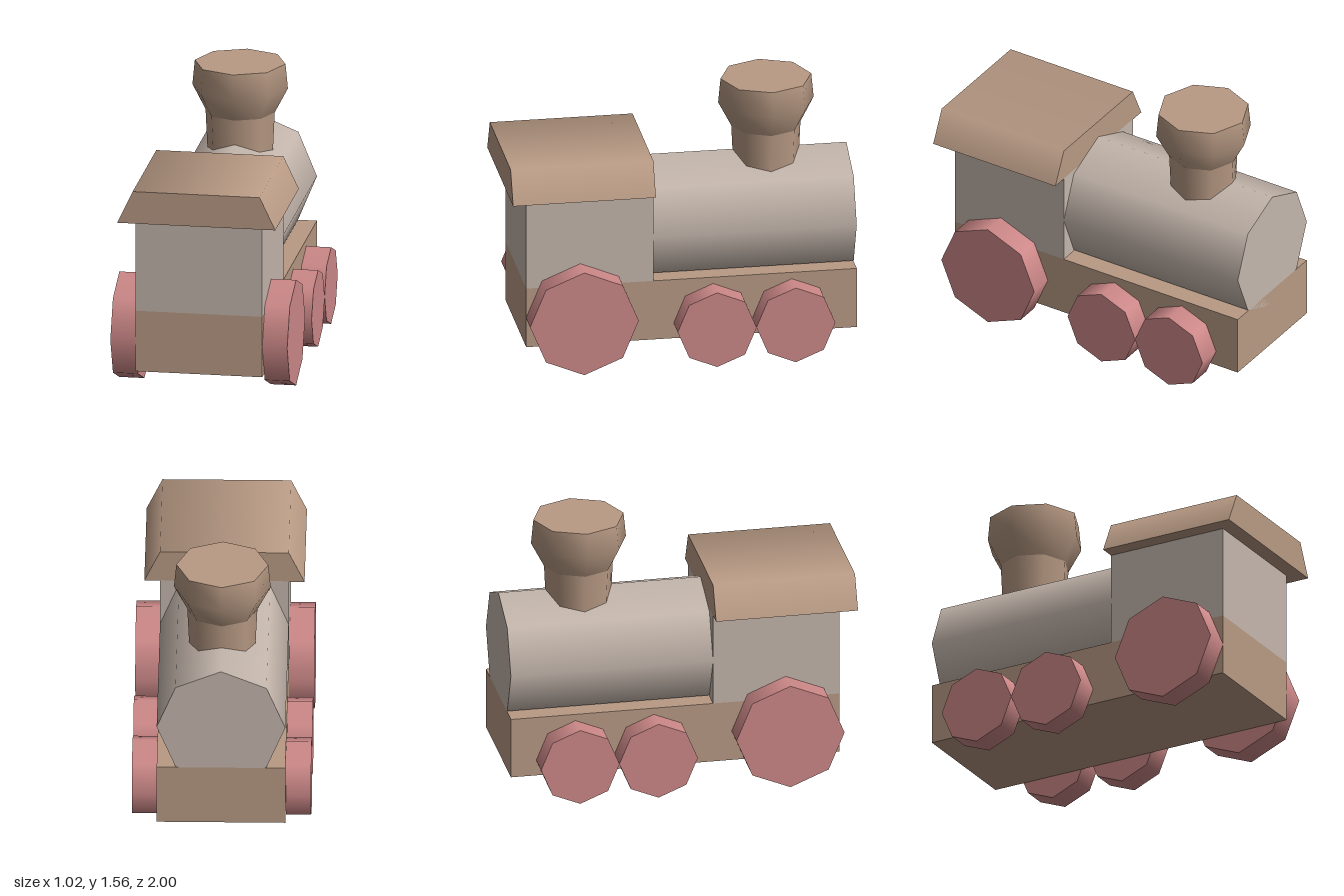
import * as THREE from 'three';

const mat = (name, color) => {
  const m = new THREE.MeshStandardMaterial({ color });
  m.name = name;
  return m;
};

export function createModel() {
  const brown = mat('brown', 0xb89a84);
  const grey = mat('warm grey', 0xc4b6ac);
  const pink = mat('dusty pink', 0xcd8888);
  const model = new THREE.Group();
  model.name = 'toyTrain';

  const add = (name, geometry, material, x, y, z, parent = model) => {
    const mesh = new THREE.Mesh(geometry, material);
    mesh.name = name;
    mesh.position.set(x, y, z);
    parent.add(mesh);
    return mesh;
  };

  // Chassis and cab share the same side planes
  add('chassis', new THREE.BoxGeometry(0.734, 0.36, 1.91), brown, 0, 0.315, -0.045);
  add('cab', new THREE.BoxGeometry(0.734, 0.55, 0.735), grey, 0, 0.77, 0.5425);

  // Eight-sided boiler with a corner at the top, sunk into the chassis
  const boiler = new THREE.CylinderGeometry(0.367, 0.367, 1.175, 8).rotateX(Math.PI / 2);
  add('boiler', boiler, grey, 0, 0.76, -0.4125);

  // Roof: extruded trapezoid, normals rounded over its two top edges
  const shape = new THREE.Shape([[-0.457, 1.042], [0.457, 1.042], [0.367, 1.232], [-0.367, 1.232]]
    .map(([x, y]) => new THREE.Vector2(x, y)));
  const roof = new THREE.ExtrudeGeometry(shape, { depth: 0.825, bevelEnabled: false });
  const pos = roof.attributes.position, nor = roof.attributes.normal;
  for (let i = 0; i < pos.count; i++) {
    if (pos.getY(i) > 1.2 && Math.abs(nor.getZ(i)) < 0.5) {
      nor.setXYZ(i, Math.sign(pos.getX(i)) * 0.53, 0.85, 0);
    }
  }
  add('roof', roof, brown, 0, 0, 0.175);

  // Chimney: neck, flared bowl and flat lid
  const chimney = new THREE.Group();
  chimney.name = 'chimney';
  chimney.position.set(0, 0, -0.535);
  model.add(chimney);
  add('chimneyNeck', new THREE.CylinderGeometry(0.2, 0.186, 0.3, 8, 1, true), brown, 0, 1.122, 0, chimney);
  const bowl = [[0.2, 1.272], [0.276, 1.418], [0.262, 1.563]].map(([r, y]) => new THREE.Vector2(r, y));
  add('chimneyBowl', new THREE.LatheGeometry(bowl, 8), brown, 0, 0, 0, chimney);
  add('chimneyLid', new THREE.CircleGeometry(0.262, 8).rotateX(-Math.PI / 2), brown, 0, 1.563, 0, chimney);

  // Wheels: one large and two small on each side
  for (const [side, label] of [[1, 'left'], [-1, 'right']]) {
    for (const [name, r, z] of [['LargeWheel', 0.314, 0.597], ['MiddleWheel', 0.228, -0.17], ['EndWheel', 0.228, -0.625]]) {
      const wheel = new THREE.CylinderGeometry(r, r, 0.145, 8).rotateZ(Math.PI / 2);
      add(label + name, wheel, pink, side * 0.4385, r, z);
    }
  }
  return model;
}
